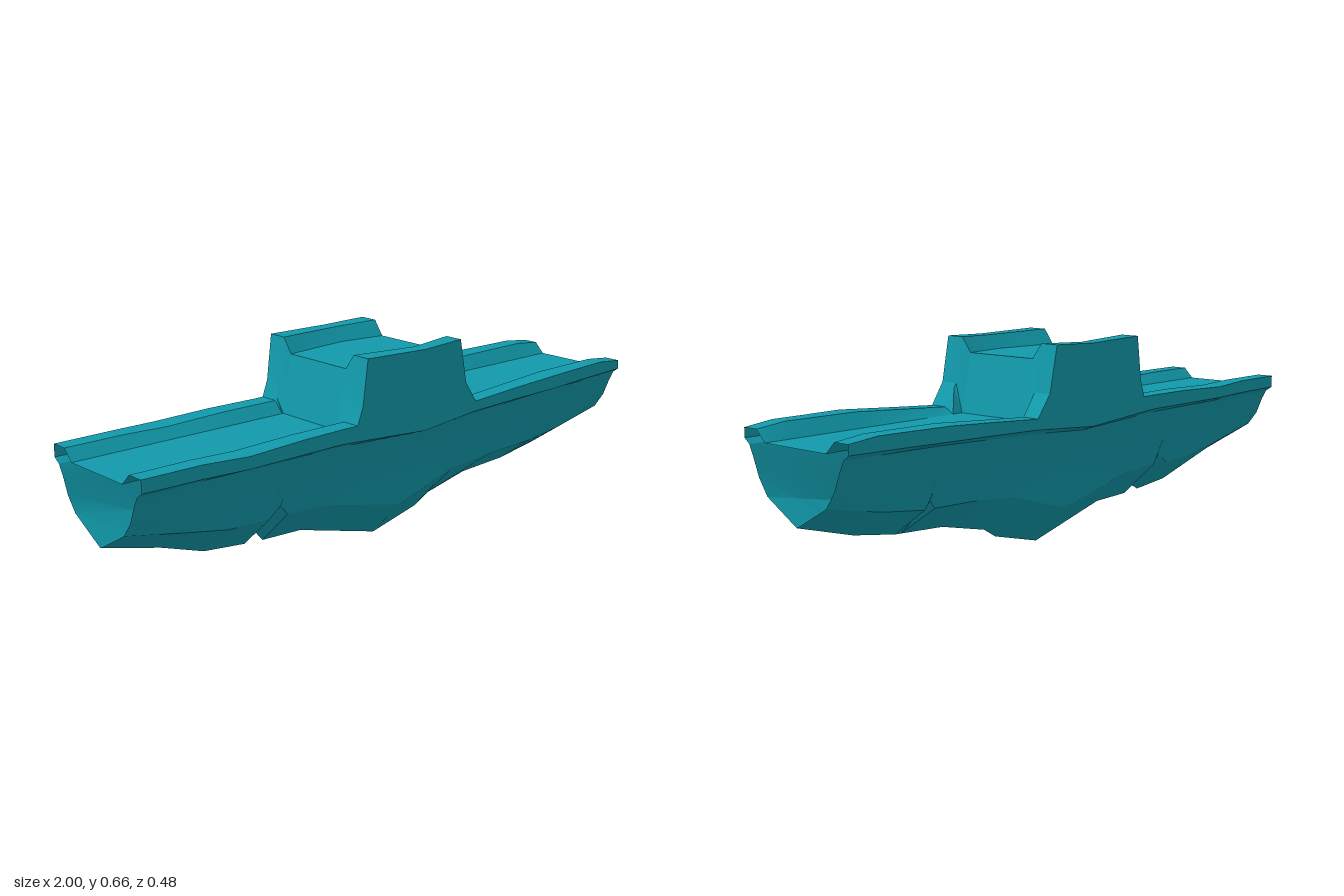
import * as THREE from 'three';
import { toCreasedNormals } from 'three/addons/utils/BufferGeometryUtils.js';

// Lengthwise profiles: [x, value] pairs, linear in between
const keel = [[-1, .21], [-.8, .16], [-.65, .11], [-.5, .095], [-.455, .12], [-.43, .09], [-.28, .085],
  [.03, .003], [.22, .05], [.27, .08], [.45, .12], [.64, .13], [.8, .155], [1, .21]];
const chine = [[-1, .28], [-.8, .24], [-.65, .212], [-.5, .205], [-.455, .24], [-.43, .207], [-.28, .2],
  [.03, .13], [.27, .2], [.45, .215], [.64, .22], [.8, .24], [1, .28]];
const flare = [[-1, .38], [-.3, .372], [.03, .35], [.27, .372], [1, .385]];
const ledge = [[-1, .41], [-.3, .405], [.03, .387], [.27, .402], [.65, .415], [1, .42]];
const halfWidth = [[-1, .222], [-.8, .225], [-.65, .238], [-.28, .226], [.03, .24], [.27, .225],
  [.45, .228], [.64, .238], [.8, .228], [1, .22]];
const railTop = [[-1, .465], [-.8, .465], [-.65, .46], [-.45, .466], [-.24, .466], [-.22, .52], [-.2, .665],
  [.03, .66], [.19, .665], [.22, .52], [.27, .45], [.64, .474], [.9, .476], [1, .465]];
const deckTop = [[-1, .43], [-.235, .43], [-.2, .617], [.19, .617], [.23, .43], [1, .43]];
const deckEdge = [[-1, .13], [-.2, .13], [.03, .155], [.19, .132], [1, .13]];

function at(profile, x) {
  for (let i = 1; i < profile.length; i++) {
    const [x0, v0] = profile[i - 1], [x1, v1] = profile[i];
    if (x <= x1) return v0 + (v1 - v0) * (x - x0) / (x1 - x0);
  }
  return profile[profile.length - 1][1];
}

const stations = [...new Set([keel, chine, flare, ledge, halfWidth, railTop, deckTop, deckEdge]
  .flat().map(p => p[0]).concat(.6, .62))].sort((a, b) => a - b);

// Cross-sections as [z, y] points
function hullHalf(x, side) {
  // shallow groove on the back of the hull
  const groove = side < 0 && Math.abs(x - .62) < .001 ? .025 : 0;
  const a = at(flare, x), b = at(ledge, x);
  return [[at(halfWidth, x), b + .015], [.2, b], [.183, a], [.16, a - .055],
    [.125, at(chine, x) + groove]].map(([z, y]) => [z * side, y]);
}
const hullSection = x => [...hullHalf(x, 1), [0, at(keel, x)], ...hullHalf(x, -1).reverse()];

function railSection(x, side) {
  const e = at(deckEdge, x), w = at(halfWidth, x), t = at(railTop, x);
  const pts = [[e, at(deckTop, x)], [e + .035, t], [w, t], [w, at(ledge, x) + .015]]
    .map(([z, y]) => [z * side, y]);
  return side > 0 ? pts : pts.reverse();
}
const deckSection = x => [[-at(deckEdge, x), at(deckTop, x)], [at(deckEdge, x), at(deckTop, x)]];

// Skin a strip of quads through the section at every station
function loft(section) {
  const pos = [], index = [], n = section(0).length;
  stations.forEach((x, s) => {
    section(x).forEach(([z, y]) => pos.push(x, y, z));
    if (s === 0) return;
    for (let i = 0; i < n - 1; i++) {
      const a = (s - 1) * n + i, b = s * n + i;
      index.push(a, a + 1, b, b, a + 1, b + 1);
    }
  });
  const g = new THREE.BufferGeometry();
  g.setAttribute('position', new THREE.Float32BufferAttribute(pos, 3));
  g.setIndex(index);
  return toCreasedNormals(g, .4);
}

export function createModel() {
  const group = new THREE.Group();
  const material = new THREE.MeshStandardMaterial({ color: 0x1199aa, side: THREE.DoubleSide });
  const add = (name, section) => {
    const mesh = new THREE.Mesh(loft(section), material);
    mesh.name = name;
    group.add(mesh);
  };
  // Hollow keeled underside, open at both ends
  add('hull', hullSection);
  // Parapets, rising around the central block
  add('frontParapet', x => railSection(x, 1));
  add('backParapet', x => railSection(x, -1));
  // Walkway with raised centre
  add('deck', deckSection);
  return group;
}
